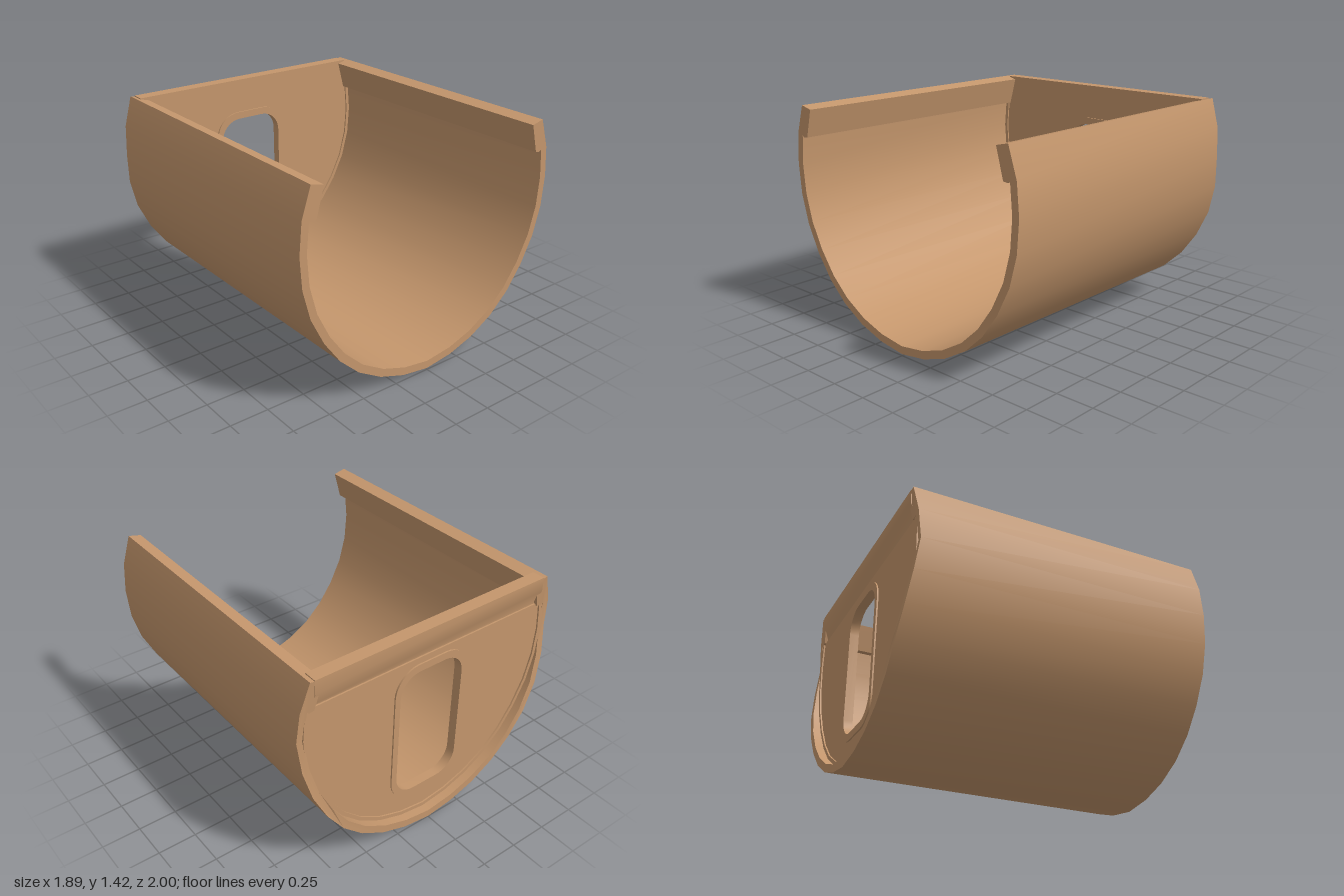
import * as THREE from 'three';
import { toCreasedNormals } from 'three/addons/utils/BufferGeometryUtils.js';

// Right half of the trough outline, from the bottom up to the rim
const HALF = [
  [0, 0], [0.194, 0.027], [0.372, 0.087], [0.538, 0.184], [0.675, 0.312], [0.787, 0.468],
  [0.877, 0.648], [0.929, 0.84], [0.945, 1.04], [0.929, 1.236], [0.87, 1.422],
];
// Depth of the bowed back edge at given heights
const BACK_EDGE = [[0, -1], [0.45, -1], [0.65, -0.985], [0.84, -0.962], [1.04, -0.935], [1.24, -0.95], [1.43, -0.965]];

function backDepth(y) {
  for (let i = 1; i < BACK_EDGE.length; i++) {
    const [y0, z0] = BACK_EDGE[i - 1], [y1, z1] = BACK_EDGE[i];
    if (y <= y1) return THREE.MathUtils.lerp(z0, z1, (y - y0) / (y1 - y0));
  }
  return -0.965;
}

// Outline from left to right, scaled about the widest level
function arc(scale, count = HALF.length) {
  const right = HALF.slice(0, count).map(([x, y]) => new THREE.Vector2(x * scale, 1.04 - (1.04 - y) * scale));
  const left = right.slice(1).reverse().map((p) => new THREE.Vector2(-p.x, p.y));
  return [...left, ...right];
}

function roundedRect(path, w, y0, y1, r) {
  path.absarc(w - r, y0 + r, r, -Math.PI / 2, 0);
  path.absarc(w - r, y1 - r, r, 0, Math.PI / 2);
  path.absarc(r - w, y1 - r, r, Math.PI / 2, Math.PI);
  path.absarc(r - w, y0 + r, r, Math.PI, Math.PI * 1.5);
  path.closePath();
  return path;
}
const windowHole = () => roundedRect(new THREE.Path(), 0.235, 0.26, 1.14, 0.14);

function slab(shape, z0, z1) {
  const g = new THREE.ExtrudeGeometry(shape, { depth: z1 - z0, bevelEnabled: false, curveSegments: 4 });
  return g.translate(0, 0, z0);
}

export function createModel() {
  const group = new THREE.Group();
  const tan = new THREE.MeshStandardMaterial({ color: 0xc4966c });
  tan.name = 'tan';
  const add = (name, geometry) => {
    const mesh = new THREE.Mesh(toCreasedNormals(geometry, 0.45), tan);
    mesh.name = name;
    group.add(mesh);
  };

  // Curved shell with a thickened lip along each top edge
  const lip = [[0.787, 1.402], [0.835, 1.22], [0.865, 1.215]];
  const shell = slab(new THREE.Shape([
    ...arc(1),
    ...lip.map(([x, y]) => new THREE.Vector2(x, y)),
    ...arc(0.95, 10).reverse(),
    ...lip.slice().reverse().map(([x, y]) => new THREE.Vector2(-x, y)),
  ]), -1, 1);
  const p = shell.attributes.position;
  for (let i = 0; i < p.count; i++) {
    const y = p.getY(i);
    if (p.getZ(i) < 0) p.setZ(i, backDepth(y));
    else p.setY(i, y + 0.01 * (1 - y / 1.422));
  }
  add('shell', shell);

  // End wall with the window
  const wall = new THREE.Shape(arc(0.965, 10));
  wall.holes.push(windowHole());
  add('endWall', slab(wall, -0.935, -0.895));

  // Narrow step where the wall meets the shell
  add('wallStep', slab(new THREE.Shape([...arc(0.96, 10), ...arc(0.925, 10).reverse()]), -0.945, -0.885));

  // Raised frame around the window
  const frame = roundedRect(new THREE.Shape(), 0.273, 0.212, 1.188, 0.17);
  frame.holes.push(windowHole());
  add('windowFrame', slab(frame, -0.945, -0.885));

  // Top bar over the wall, with a sloping underside at the back
  const bar = slab(new THREE.Shape([
    [-0.965, 1.422], [-0.965, 1.33], [-0.925, 1.24], [-0.925, 1.222], [-0.88, 1.222], [-0.88, 1.422],
  ].map(([z, y]) => new THREE.Vector2(-z, y))), -0.84, 0.84);
  add('topBar', bar.rotateY(Math.PI / 2));

  return group;
}
